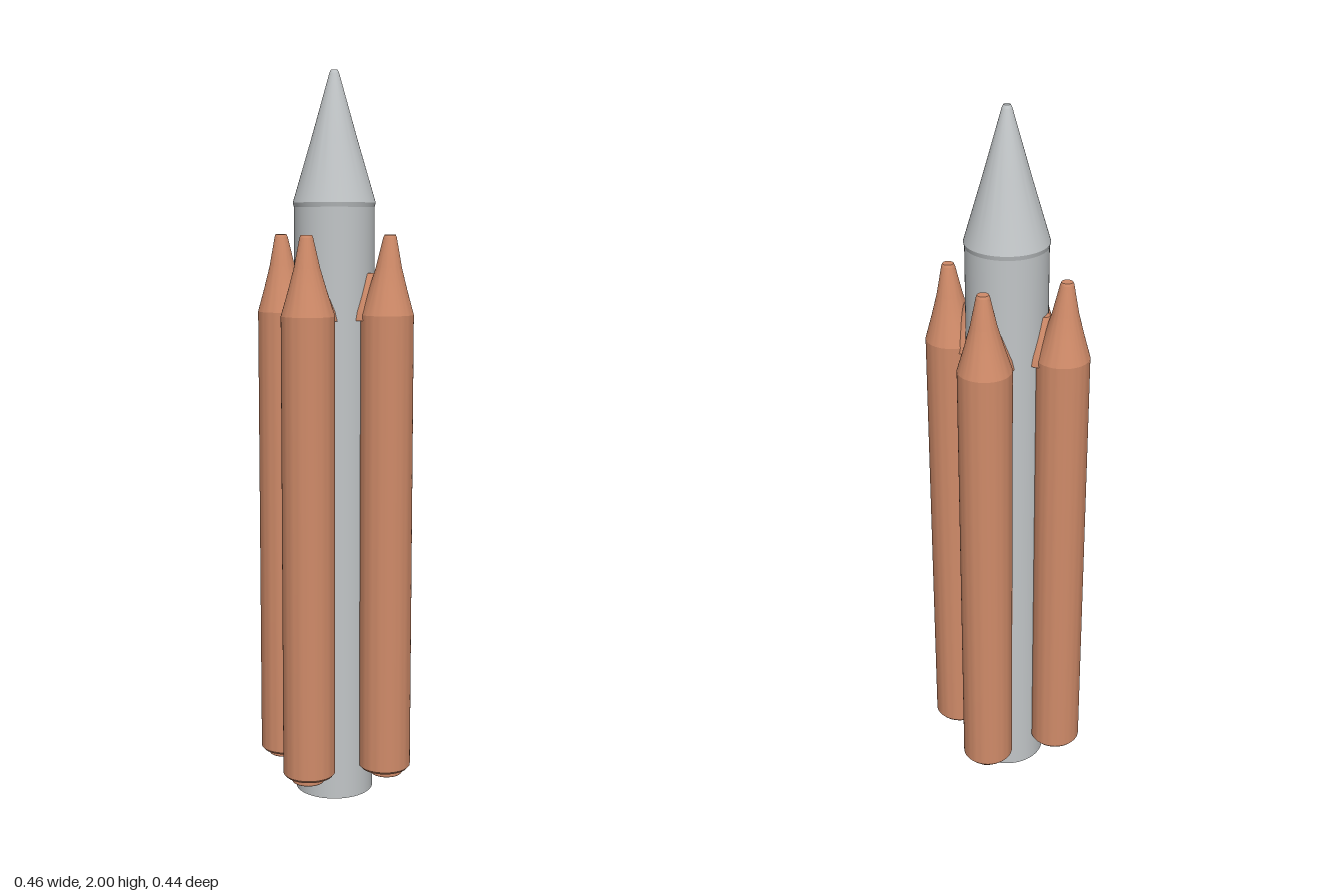
import * as THREE from 'three';
import { toCreasedNormals } from 'three/addons/utils/BufferGeometryUtils.js';

const mat = (name, color) => Object.assign(new THREE.MeshStandardMaterial({ color }), { name });

// Turned body from a bottom-to-top profile of [radius, y], with crisp edges
function turned(name, profile, material) {
  const points = profile.map(([r, y]) => new THREE.Vector2(r, y));
  const mesh = new THREE.Mesh(toCreasedNormals(new THREE.LatheGeometry(points, 64), 0.2), material);
  mesh.name = name;
  return mesh;
}

export function createModel() {
  const grey = mat('pale grey', 0xc2c6c8);
  const orange = mat('copper orange', 0xd08b69);
  const dark = mat('dark slate', 0x3c474c);

  const rocket = new THREE.Group();
  rocket.name = 'rocket';

  // Core stage and nose cone
  rocket.add(turned('coreStage', [[0.109, 0], [0.109, 1.64], [0.112, 1.652]], grey));
  rocket.add(turned('noseCone', [[0.112, 1.652], [0.062, 1.82], [0.013, 1.992], [0.009, 2], [0, 2]], grey));

  // Dark underside of the core
  const base = new THREE.Mesh(new THREE.CircleGeometry(0.109, 64), dark);
  base.name = 'coreBase';
  base.rotation.x = Math.PI / 2;
  rocket.add(base);

  // Four boosters, slightly turned about the core
  const spots = [[0.158, 0.005], [0.005, -0.152], [-0.158, -0.008], [-0.008, 0.148]];
  spots.forEach(([x, z], i) => {
    const booster = new THREE.Group();
    booster.name = `booster${i + 1}`;
    booster.position.set(x, 0, z);
    booster.rotation.y = Math.atan2(-z, x); // local +x points away from the core

    booster.add(turned('boosterBody', [[0, 0.083], [0.066, 0.083], [0.072, 0.09], [0.072, 1.355]], orange));

    // Nose leans a little outwards
    const nose = turned('boosterNose',
      [[0.072, 1.355], [0.052, 1.42], [0.035, 1.48], [0.018, 1.56], [0.015, 1.567], [0, 1.567]], orange);
    const p = nose.geometry.attributes.position;
    for (let k = 0; k < p.count; k++) p.setX(k, p.getX(k) + 0.008 * (p.getY(k) - 1.355) / 0.212);
    booster.add(nose);

    // Short nozzle with a stepped, recessed mouth
    const nozzle = turned('nozzle',
      [[0, 0.074], [0.028, 0.074], [0.028, 0.066], [0.043, 0.066], [0.045, 0.069], [0.045, 0.084]], orange);
    nozzle.position.x = 0.006;
    booster.add(nozzle);

    // Fairing joining the nose to the core
    const fairing = turned('fairing', [[0.058, 1.34], [0.053, 1.365], [0.018, 1.465], [0, 1.465]], orange);
    fairing.position.x = -0.056;
    booster.add(fairing);

    rocket.add(booster);
  });

  return rocket;
}
